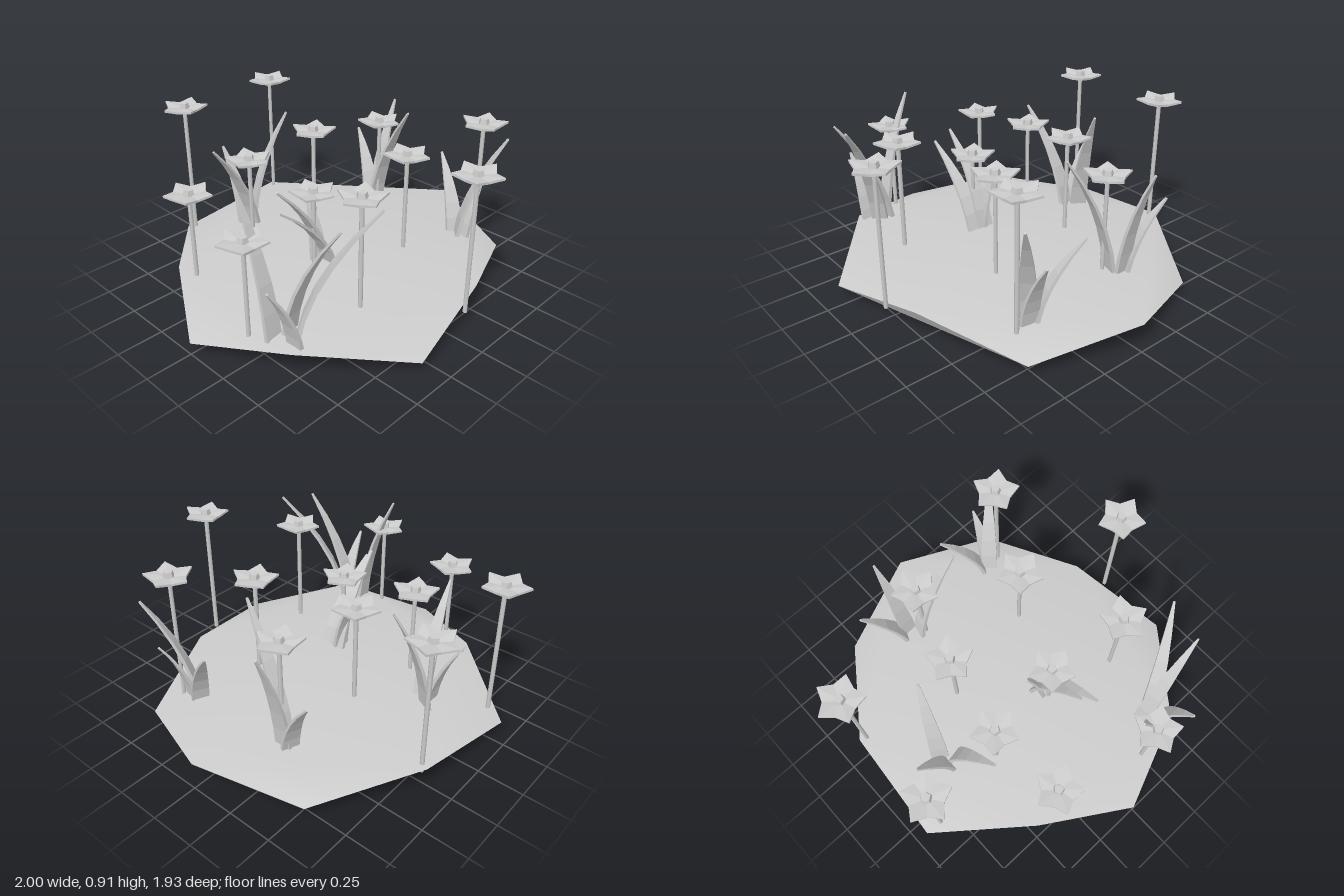
import * as THREE from 'three';

const grey = new THREE.MeshStandardMaterial({ color: 0xcccccc });
grey.name = 'pale grey';

function mesh(name, geometry, parent) {
  const m = new THREE.Mesh(geometry, grey);
  m.name = name;
  parent.add(m);
  return m;
}

// Flat-shaded triangles, or smooth ones when the points are shared
function triangles(points, index, smooth = false) {
  const g = new THREE.BufferGeometry().setFromPoints(points);
  g.setIndex(index);
  const out = smooth ? g : g.toNonIndexed();
  out.computeVertexNormals();
  return out;
}

// Skin over equal rings, closed by fans to a first and a last centre
function loft(rings, first, last) {
  const n = rings[0].length, points = [...rings.flat(), first, last], index = [];
  const a = rings.length * n, b = a + 1, top = (rings.length - 1) * n;
  for (let i = 0; i < n; i++) {
    const j = (i + 1) % n;
    for (let k = 0; k < top; k += n) index.push(k + i, k + j, k + n + j, k + i, k + n + j, k + n + i);
    index.push(a, j, i, b, top + i, top + j);
  }
  return triangles(points, index);
}

const V = (x, y, z) => new THREE.Vector3(x, y, z);

// Squashed twenty-sided mound with an uneven zigzag rim
function ground(parent) {
  const rim = [[1, 0], [0.8, 0.54], [0.25, 0.775], [-0.33, 0.89], [-0.79, 0.5],
    [-1, 0], [-0.72, -0.47], [-0.33, -0.935], [0.3, -0.88], [0.8, -0.54]];
  const points = rim.map(([x, z], i) => V(x, i % 2 ? 0.065 : 0.16, z));
  points.push(V(0, 0.22, 0), V(0, 0, 0));
  const top = [], side = [], bottom = [];
  for (let i = 0; i < 10; i += 2) {
    const low = i + 1, next = (i + 2) % 10, lowNext = (i + 3) % 10;
    top.push(10, next, i, i, next, low);
    side.push(low, next, lowNext);
    bottom.push(11, low, lowNext);
  }
  const g = new THREE.Group();
  g.name = 'ground';
  mesh('groundTop', triangles(points, top, true), g);
  mesh('groundRim', triangles(points, side), g);
  mesh('groundUnderside', triangles(points, bottom, true), g);
  parent.add(g);
}

// Five-pointed shallow cup of petals
function petalGeometry() {
  const ring = (drop) => Array.from({ length: 10 }, (_, i) => {
    const a = i * Math.PI / 5, tip = i % 2 === 0, r = tip ? 0.128 : 0.086;
    return V(r * Math.cos(a), (tip ? 0.012 : -0.002) - drop, -r * Math.sin(a));
  });
  return loft([ring(0.012), ring(0)], V(0, -0.024, 0), V(0, -0.008, 0));
}

// Tapered blade of grass bending from its base to its tip
function bladeGeometry(bx, bz, tx, ty, tz) {
  const by = 0.225 - 0.1 * Math.hypot(bx, bz);
  const lean = V(tx - bx, 0, tz - bz);
  const curve = new THREE.QuadraticBezierCurve3(V(bx, by, bz),
    V(bx, by + (ty - by) * 0.5, bz).addScaledVector(lean, 0.15), V(tx, ty, tz));
  const side = V(0, 1, 0).cross(lean.normalize());
  const steps = 5, rings = [];
  for (let k = 0; k <= steps; k++) {
    const t = k / steps, p = curve.getPoint(t);
    const out = side.clone().cross(curve.getTangent(t));
    const w = 0.042 * (1 - t * t) + 0.005, d = 0.011 - 0.006 * t;
    rings.push([[1, -1], [1, 1], [-1, 1], [-1, -1]].map(([u, v]) =>
      p.clone().addScaledVector(out, u * d).addScaledVector(side, v * w)));
  }
  return loft(rings, curve.getPoint(0), curve.getPoint(1));
}

export function createModel() {
  const model = new THREE.Group();
  model.name = 'flowerPatch';
  ground(model);

  // Flowers: x, z, height, turn in degrees
  const flowers = [
    [-0.34, -0.84, 0.87, -35], [0.285, -0.84, 0.88, -19], [-0.70, -0.335, 0.645, -12],
    [-0.28, -0.37, 0.685, 9], [0.13, -0.30, 0.75, -36], [0.55, -0.175, 0.72, 9],
    [-0.23, 0.07, 0.63, 6], [-0.82, 0.23, 0.66, -17], [0.245, 0.285, 0.75, 6],
    [-0.315, 0.48, 0.785, -36], [0.64, 0.475, 0.865, -22], [0.07, 0.835, 0.885, 5],
  ];
  const petals = petalGeometry();
  const heart = new THREE.CylinderGeometry(0.024, 0.031, 0.03, 5).toNonIndexed();
  heart.computeVertexNormals();
  heart.rotateY(Math.PI / 2);
  for (const [x, z, y, turn] of flowers) {
    const flower = new THREE.Group();
    flower.name = 'flower';
    flower.position.set(x, y, z);
    flower.rotation.y = -turn * Math.PI / 180;
    mesh('petals', petals, flower);
    mesh('flowerCentre', heart, flower).position.y = 0.008;
    const length = y - 0.02 - (0.23 - 0.13 * Math.hypot(x, z));
    const stem = mesh('stem', new THREE.CylinderGeometry(0.012, 0.012, length, 6), flower);
    stem.position.y = -0.02 - length / 2;
    model.add(flower);
  }

  // Grass clumps; each blade: base x, base z, tip x, tip y, tip z
  const clumps = {
    backGrass: [[-0.145, -0.6, -0.145, 0.59, -0.775], [-0.13, -0.55, -0.42, 0.73, -0.49],
      [-0.08, -0.61, 0.12, 0.8, -0.51]],
    leftBackGrass: [[0.61, -0.28, 0.69, 0.55, -0.47], [0.62, -0.25, 0.78, 0.77, -0.255],
      [0.57, -0.21, 0.51, 0.84, 0.065]],
    middleGrass: [[-0.16, 0.11, -0.51, 0.63, 0.125], [-0.15, 0.05, -0.46, 0.7, 0.055],
      [-0.18, 0.05, -0.165, 0.55, -0.045]],
    rightFrontGrass: [[-0.73, 0.46, -0.89, 0.525, 0.465], [-0.76, 0.34, -0.77, 0.855, 0.14],
      [-0.68, 0.36, -0.645, 0.81, 0.665], [-0.68, 0.42, -0.43, 0.845, 0.71]],
    leftFrontGrass: [[0.63, 0.35, 0.74, 0.56, 0.145], [0.64, 0.4, 0.79, 0.53, 0.43],
      [0.61, 0.38, 0.78, 0.75, 0.55]],
  };
  for (const [name, blades] of Object.entries(clumps)) {
    const clump = new THREE.Group();
    clump.name = name;
    for (const b of blades) mesh('grassBlade', bladeGeometry(...b), clump);
    model.add(clump);
  }
  return model;
}
